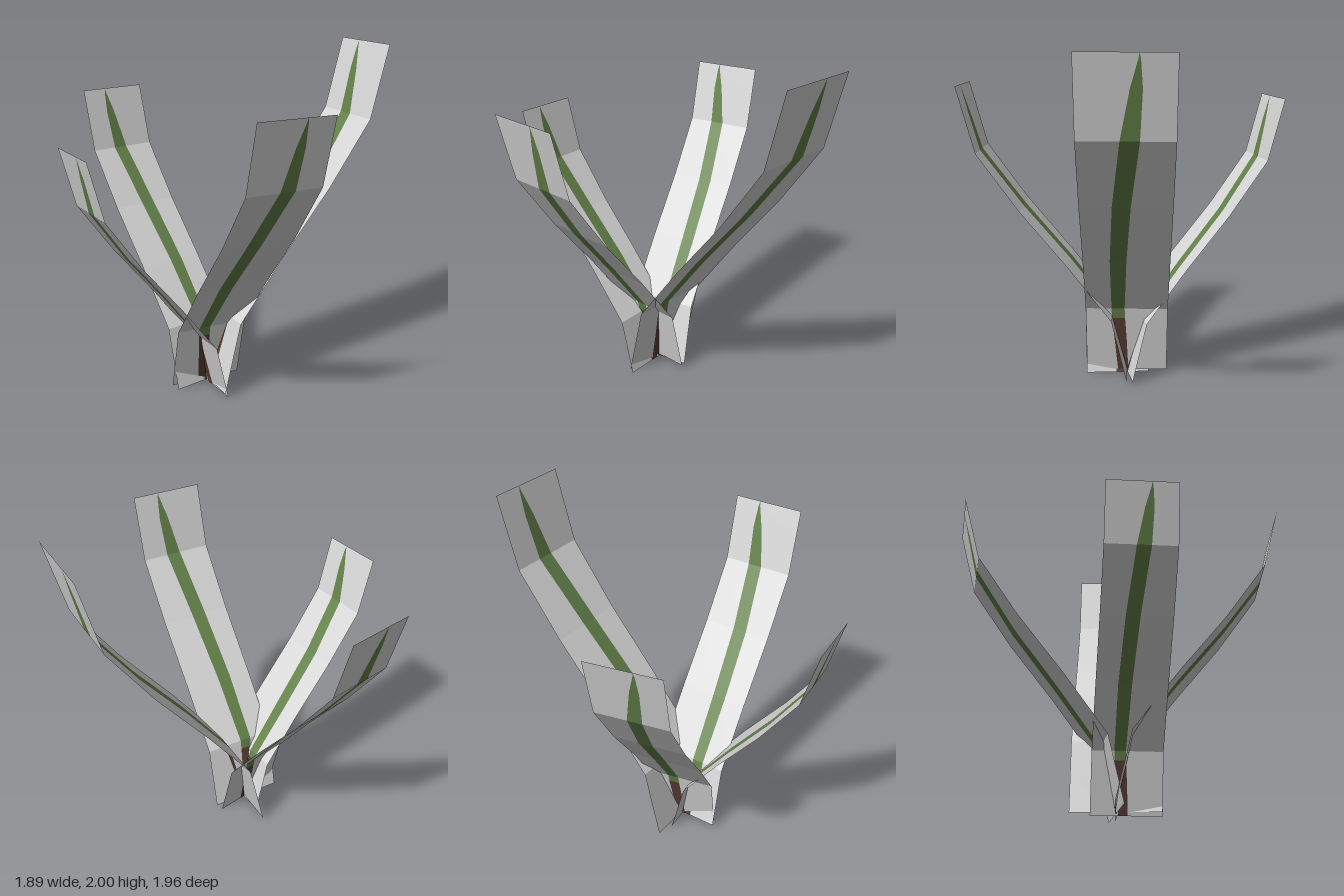
import * as THREE from 'three';

const flat = (name, color) => {
  const m = new THREE.MeshStandardMaterial({ color, side: THREE.DoubleSide, flatShading: true });
  m.name = name;
  return m;
};

// Shared leaf bend: [fraction outward, fraction of height] at equal steps of length
const BEND = [[0, 0], [0.095, 0.216], [0.36, 0.405], [0.645, 0.594], [0.895, 0.785], [1, 1]];

// Blade outline across the card: [length fraction, left edge, right edge]
const BLADE = [
  [0, -0.11, 0.02], [0.1, -0.15, 0], [0.17, -0.18, -0.02], [0.2, -0.185, -0.025],
  [0.4, -0.19, 0], [0.6, -0.15, 0.05], [0.8, -0.06, 0.14], [0.92, 0.04, 0.165],
  [0.985, 0.12, 0.145], [1, 0.13, 0.13],
];
const STEM_END = 0.17;

// base and tip are [x, y, z]; across is the card's [x, z] width vector
const LEAVES = [
  { name: 'backLeaf', base: [-0.04, 0.02, 0.12], tip: [0.17, 2, -0.925], across: [-0.48, -0.11] },
  { name: 'leftLeaf', base: [-0.045, 0.02, 0.135], tip: [0.895, 1.78, 0.3], across: [0.09, -0.425] },
  { name: 'frontLeaf', base: [0.015, 0, 0.13], tip: [-0.07, 1.53, 0.955], across: [0.38, 0.05] },
  { name: 'rightLeaf', base: [-0.04, 0.01, 0.135], tip: [-0.95, 1.69, 0.165], across: [0, 0.41] },
];

function createLeaf({ name, base, tip, across }, materials) {
  // Point on the bent card at length fraction v and width fraction u
  const point = (v, u) => {
    const i = Math.min(4, Math.floor(v * 5 + 1e-6));
    const f = v * 5 - i;
    const out = THREE.MathUtils.lerp(BEND[i][0], BEND[i + 1][0], f);
    const up = THREE.MathUtils.lerp(BEND[i][1], BEND[i + 1][1], f);
    return [
      base[0] + (tip[0] - base[0]) * out + across[0] * u,
      base[1] + (tip[1] - base[1]) * up,
      base[2] + (tip[2] - base[2]) * out + across[1] * u,
    ];
  };
  const parts = { card: [], stem: [], blade: [] };

  // Cut every row into card, blade (or stem) and card again
  for (let r = 0; r < BLADE.length - 1; r++) {
    const [v0, l0, r0] = BLADE[r];
    const [v1, l1, r1] = BLADE[r + 1];
    const low = [-0.5, l0, r0, 0.5];
    const high = [-0.5, l1, r1, 0.5];
    for (let c = 0; c < 3; c++) {
      const target = c !== 1 ? parts.card : v1 <= STEM_END ? parts.stem : parts.blade;
      const a = point(v0, low[c]), b = point(v0, low[c + 1]);
      const d = point(v1, high[c]), e = point(v1, high[c + 1]);
      target.push(...a, ...b, ...e, ...a, ...e, ...d);
    }
  }

  const leaf = new THREE.Group();
  leaf.name = name;
  for (const [part, positions] of Object.entries(parts)) {
    const geometry = new THREE.BufferGeometry();
    geometry.setAttribute('position', new THREE.Float32BufferAttribute(positions, 3));
    geometry.computeVertexNormals();
    const mesh = new THREE.Mesh(geometry, materials[part]);
    mesh.name = part;
    leaf.add(mesh);
  }
  return leaf;
}

export function createModel() {
  const materials = {
    card: flat('pale grey', 0xd9d9d9),
    stem: flat('brown', 0x5a3d35),
    blade: flat('leaf green', 0x64824a),
  };
  const plant = new THREE.Group();
  plant.name = 'plant';
  for (const leaf of LEAVES) plant.add(createLeaf(leaf, materials));
  return plant;
}
